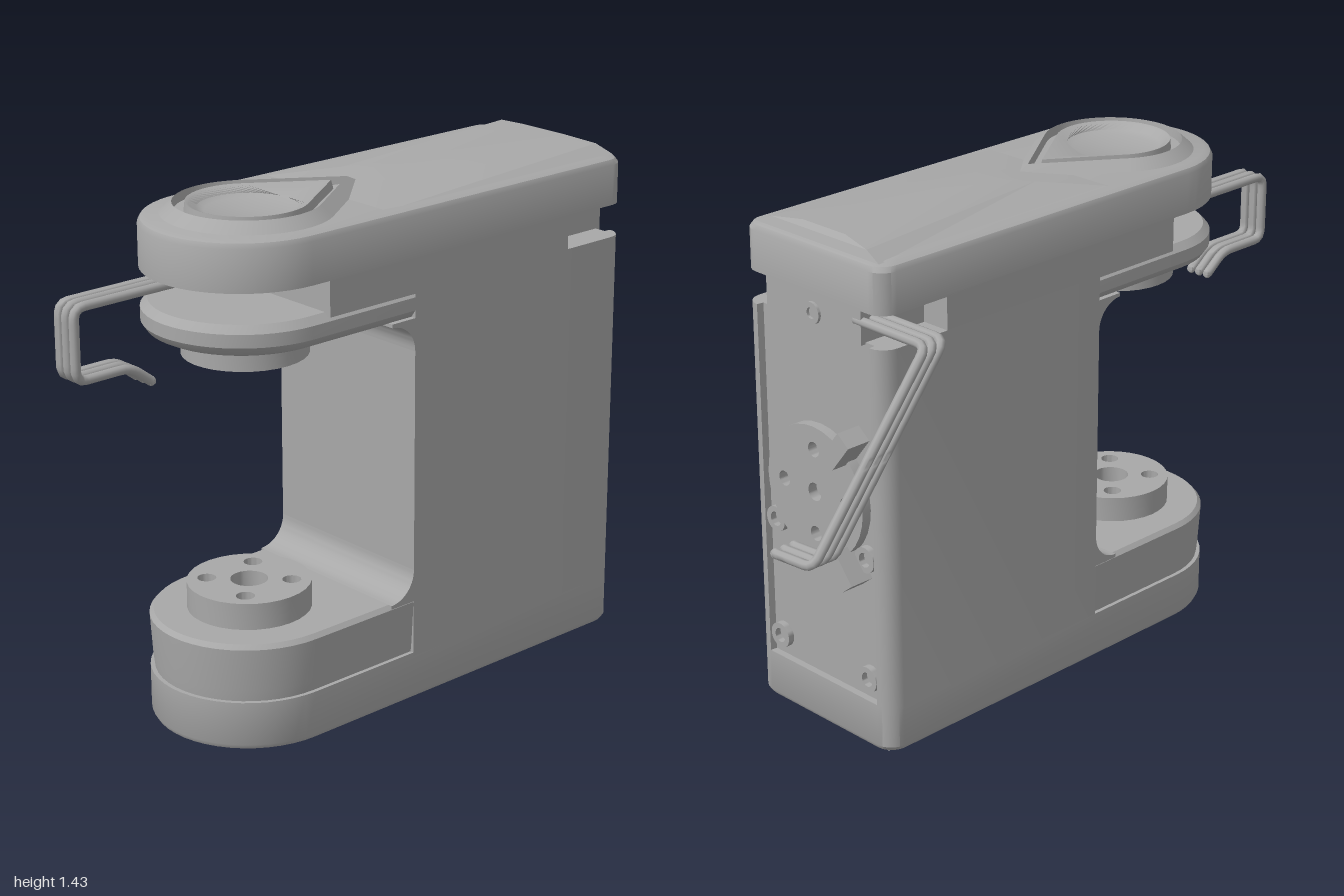
import * as THREE from 'three';
import { toCreasedNormals } from 'three/addons/utils/BufferGeometryUtils.js';

const H = 1.432, HALF = 0.265, ARM_X = -0.505;

export function createModel() {
  const grey = new THREE.MeshStandardMaterial({ color: 0xa8a8a8 });
  grey.name = 'grey';
  const model = new THREE.Group();
  model.name = 'machineHousing';
  model.position.z = 0.075;

  const add = (name, geo, x = 0, y = 0, z = 0, crease = 0.6) => {
    const m = new THREE.Mesh(toCreasedNormals(geo, crease), grey);
    m.name = name;
    m.position.set(x, y, z);
    model.add(m);
    return m;
  };

  // Rows of [y, outline], outlines counter-clockwise seen from above
  const loft = (rows) => {
    const pos = [], idx = [], n = rows[0][1].length;
    rows.forEach(([y, pts]) => pts.forEach(([x, z]) => pos.push(x, y, z)));
    for (let r = 0; r < rows.length - 1; r++) for (let i = 0; i < n; i++) {
      const a = r * n + i, b = r * n + (i + 1) % n;
      idx.push(a, b, b + n, a, b + n, a + n);
    }
    [0, rows.length - 1].forEach((r, top) => {
      const [y, pts] = rows[r], c = pos.length / 3;
      pos.push(pts.reduce((s, p) => s + p[0], 0) / n, y, pts.reduce((s, p) => s + p[1], 0) / n);
      for (let i = 0; i < n; i++) {
        const a = r * n + i, b = r * n + (i + 1) % n;
        idx.push(c, top ? a : b, top ? b : a);
      }
    });
    const g = new THREE.BufferGeometry();
    g.setAttribute('position', new THREE.Float32BufferAttribute(pos, 3));
    g.setIndex(idx);
    return g;
  };

  const arc = (cx, cz, r, a0, a1, n) => Array.from({ length: n + 1 }, (_, i) => {
    const a = a0 + (a1 - a0) * i / n;
    return [cx + r * Math.cos(a), cz - r * Math.sin(a)];
  });

  // Plan with a round arm end on one side and small corners on the other
  const plan = (x1, inset) => {
    const c = 0.05, w = HALF - inset, x = x1 - inset, q = Math.PI / 2;
    return [
      ...arc(x - c, -(w - c), c, 0, q, 5),
      ...arc(ARM_X, 0, w, q, 3 * q, 24),
      ...arc(x - c, w - c, c, 3 * q, 4 * q, 5),
    ];
  };
  const planLoft = (x1, rows) => loft(rows.map(([y, inset]) => [y, plan(x1, inset)]));

  // Teardrop plan: circle of radius r with tangents to a tip
  const teardrop = (r, tip) => {
    const a = Math.acos(r / tip);
    return [[-0.49 + tip, 0], ...arc(-0.49, 0, r, a, 2 * Math.PI - a, 40)];
  };

  const slab = (points, depth) => {
    const s = new THREE.Shape(points.map(([x, z]) => new THREE.Vector2(x, -z)));
    return new THREE.ExtrudeGeometry(s, { depth, bevelEnabled: false }).rotateX(-Math.PI / 2);
  };

  // Top and bottom covers, each with its teardrop dish
  ['top', 'bottom'].forEach((side, i) => {
    const cover = add(side + 'Cover', planLoft(0.62, [
      [i ? 1.262 : 1.27, 0], [1.382, 0], [1.395, 0.007], [1.402, 0.025],
    ]));
    const dish = add(side + 'TeardropDish', loft([
      [1.395, teardrop(0.225, 0.4)], [1.402, teardrop(0.222, 0.395)],
      [1.43, teardrop(0.19, 0.335)], [1.405, teardrop(0.187, 0.33)],
      [1.405, teardrop(0.16, 0.288)], [1.43, teardrop(0.157, 0.28)],
      [1.427, teardrop(0.148, 0.23)], [1.412, teardrop(0.13, 0.132)],
      [1.405, teardrop(0.11, 0.112)],
    ]), 0, 0, 0, 0.4);
    // Shallow crown over the column
    const rise = i ? 0.418 : 0.432;
    const crown = add(side + 'Crown', loft([
      [1.4, [[0.6, -0.235], [-0.25, -0.235], [-0.25, 0.235], [0.6, 0.235]]],
      [1 + rise - 0.01, [[0.59, -0.18], [-0.08, -0.1], [-0.08, 0.1], [0.59, 0.18]]],
      [1 + rise, [[0.57, -0.08], [0, -0.04], [0, 0.04], [0.57, 0.08]]],
    ]), 0, 0, 0, 0.2);
    if (i) [cover, dish, crown].forEach((m) => {
      m.rotation.x = Math.PI;
      m.position.y = H;
    });
  });

  // Arms
  add('lowerArm', planLoft(0.1, [[0.165, 0.012], [0.2, 0.008], [0.318, 0.001], [0.33, 0.012]]));
  add('upperArmJaw', planLoft(0.1, [[1.1, 0.035], [1.11, 0.015], [1.13, 0.001], [1.165, 0.001], [1.185, 0.02]]));

  // Column with a recessed rear panel
  const corner = (s) => arc(0.57, s * 0.215, 0.05, s < 0 ? Math.PI / 2 : 0, s < 0 ? 0 : -Math.PI / 2, 5);
  add('column', slab([
    [-0.16, -HALF], ...corner(-1), [0.6, -0.213], [0.6, 0.213], ...corner(1), [-0.16, HALF],
  ], 1.02), 0, 0.16);

  // Neck under the top cover, notched at the rear corners and open over the jaw
  add('neck', slab([
    [-0.45, -HALF], [0.4, -HALF], [0.4, -0.18], [0.615, -0.18],
    [0.615, 0.18], [0.4, 0.18], [0.4, HALF], [-0.45, HALF],
  ], 0.1), 0, 1.175);

  // Inner fillets between column and arms
  const f = 0.08;
  const fs = new THREE.Shape();
  fs.moveTo(0.01, -0.01);
  fs.lineTo(0.01, f);
  fs.lineTo(0, f);
  fs.absarc(-f, f, f, 0, -Math.PI / 2, true);
  fs.lineTo(-f, -0.01);
  const filletGeo = () => new THREE.ExtrudeGeometry(fs, { depth: 2 * HALF, bevelEnabled: false, curveSegments: 8 })
    .translate(0, 0, -HALF);
  add('lowerFillet', filletGeo(), -0.16, 0.33);
  add('upperFillet', filletGeo(), -0.16, 1.1).rotation.x = Math.PI;

  // Disc with a centre hole and four bolt holes
  const disc = (r, depth, centre, bolt = 0, dist = 0, phase = 0) => {
    const s = new THREE.Shape().absarc(0, 0, r, 0, Math.PI * 2);
    const hole = (x, y, q) => s.holes.push(new THREE.Path().absarc(x, y, q, 0, Math.PI * 2, true));
    hole(0, 0, centre);
    if (bolt) for (let i = 0; i < 4; i++) {
      const a = phase + i * Math.PI / 2;
      hole(dist * Math.cos(a), dist * Math.sin(a), bolt);
    }
    return new THREE.ExtrudeGeometry(s, { depth, bevelEnabled: false, curveSegments: 16 });
  };
  const flange = () => disc(0.165, 0.075, 0.05, 0.025, 0.112, Math.PI / 4).rotateX(-Math.PI / 2);
  add('lowerFlange', flange(), ARM_X, 0.328);
  add('upperFlange', flange(), ARM_X, 1.035);

  // Rear connector, its keys and the screw bosses
  const rear = (...a) => disc(...a).rotateY(Math.PI / 2);
  add('rearConnector', rear(0.185, 0.03, 0.025, 0.021, 0.12), 0.598, 0.72);
  [1, -1].forEach((s) => {
    const key = add('connectorKey', new THREE.BoxGeometry(0.075, 0.05, 0.1), 0.635, 0.72 + s * 0.17, -0.135);
    key.rotation.x = s * 0.9;
  });
  [0.58, 0.23].forEach((y) => [0.175, -0.175].forEach((z) =>
    add('screwBoss', rear(0.036, 0.02, 0.02), 0.598, y, z)));
  add('upperBoss', rear(0.03, 0.015, 0.015), 0.608, 1.215);

  // Hoses: straight runs with rounded bends
  const hose = (name, pts) => {
    const p = pts.map((v) => new THREE.Vector3(...v)), path = new THREE.CurvePath();
    let from = p[0];
    for (let i = 1; i < p.length - 1; i++) {
      const a = p[i].clone().add(p[i - 1].clone().sub(p[i]).setLength(0.03));
      const b = p[i].clone().add(p[i + 1].clone().sub(p[i]).setLength(0.03));
      path.add(new THREE.LineCurve3(from, a));
      path.add(new THREE.QuadraticBezierCurve3(a, p[i], b));
      from = b;
    }
    const end = p[p.length - 1];
    path.add(new THREE.LineCurve3(from, end));
    add(name, new THREE.TubeGeometry(path, 70, 0.013, 8), 0, 0, 0, 1);
    add(name + 'End', new THREE.SphereGeometry(0.013, 8, 6), end.x, end.y, end.z, 1);
  };
  [-0.03, 0, 0.03].forEach((o) => {
    const z = -0.1 + o;
    hose('armHose', [
      [-0.4, 1.235, z], [-0.985, 1.235, z], [-0.985, 1.045, z], [-0.82, 1.045, z], [-0.755, 0.995, z],
    ]);
    hose('rearHose', [
      [0.575 + o, 1.235, -0.15], [0.575 + o, 1.235, -0.405],
      [0.955 + o, 0.77, -0.405], [0.955 + o, 0.76, -0.265],
    ]);
  });

  return model;
}
